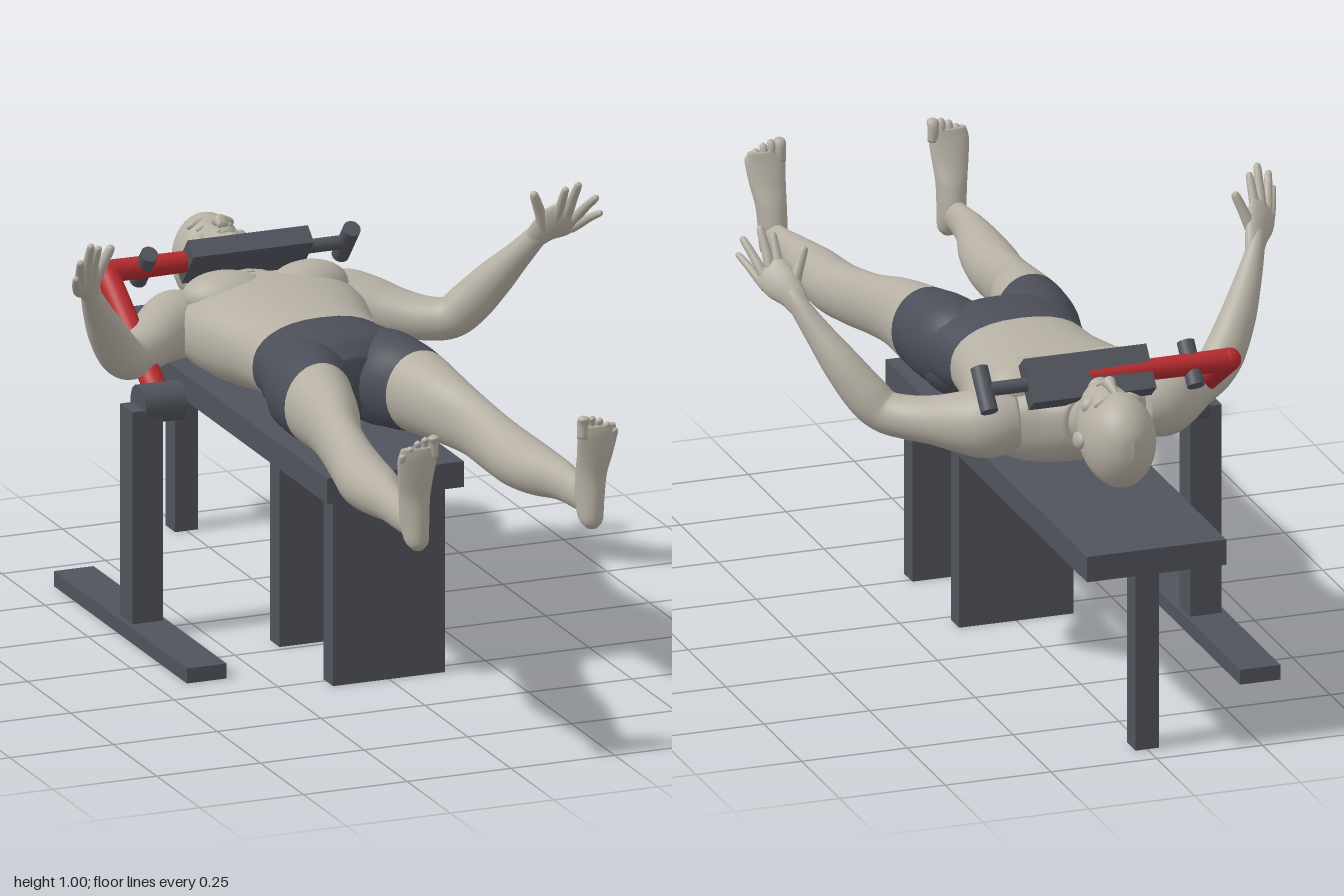
import * as THREE from 'three';

const material = (name, color) => Object.assign(new THREE.MeshStandardMaterial({ color }), { name });
const V = (x, y, z) => new THREE.Vector3(x, y, z);

export function createModel() {
  const model = new THREE.Group();
  const skin = material('skin', 0xb5afa3);
  const frame = material('dark frame', 0x50535c);
  const shorts = material('shorts fabric', 0x4b4e58);
  const red = material('red arm', 0xb42a2e);

  const add = (name, geometry, mat, parent = model) => {
    const mesh = new THREE.Mesh(geometry, mat);
    mesh.name = name;
    parent.add(mesh);
    return mesh;
  };
  const group = (name) => {
    const g = new THREE.Group();
    g.name = name;
    model.add(g);
    return g;
  };
  // Box given by its limits on each axis
  const box = (name, x0, x1, y0, y1, z0, z1, parent) =>
    add(name, new THREE.BoxGeometry(x1 - x0, y1 - y0, z1 - z0), frame, parent)
      .position.set((x0 + x1) / 2, (y0 + y1) / 2, (z0 + z1) / 2);
  // Cylinder between two points
  const rod = (name, p, q, r0, r1, mat, parent) => {
    const mesh = add(name, new THREE.CylinderGeometry(r1, r0, p.distanceTo(q), 28), mat, parent);
    mesh.position.copy(p).lerp(q, 0.5);
    mesh.quaternion.setFromUnitVectors(V(0, 1, 0), q.clone().sub(p).normalize());
    return mesh;
  };
  const ball = (name, x, y, z, rx, ry, rz, mat, parent) => {
    const mesh = add(name, new THREE.SphereGeometry(1, 24, 16), mat, parent);
    mesh.position.set(x, y, z);
    mesh.scale.set(rx, ry, rz);
    return mesh;
  };

  // Smooth skin over sections [x, y, z, radius across, radius deep].
  // ref is the across direction; axis, if given, fixes the section planes.
  // With two-tone on, rings between the waist and thigh hems use the shorts.
  const loft = (name, rows, { ref = V(1, 0, 0), axis = null, power = 1, twoTone = false }, parent) => {
    const path = new THREE.CatmullRomCurve3(rows.map((r) => V(r[0], r[1], r[2])), false, 'catmullrom');
    const size = new THREE.CatmullRomCurve3(rows.map((r) => V(r[3], r[4], 0)), false, 'catmullrom');
    const rings = (rows.length - 1) * 6, sides = 32, pos = [], index = [], centres = [];
    const bend = (v) => Math.sign(v) * Math.abs(v) ** power;
    for (let i = 0; i <= rings; i++) {
      const c = path.getPoint(i / rings), s = size.getPoint(i / rings);
      const t = axis || path.getTangent(i / rings);
      const u = ref.clone().addScaledVector(t, -ref.dot(t)).normalize();
      const w = t.clone().cross(u);
      centres.push(c);
      for (let j = 0; j < sides; j++) {
        const a = (j / sides) * Math.PI * 2;
        const p = c.clone().addScaledVector(u, bend(Math.cos(a)) * Math.max(s.x, 0.0005))
          .addScaledVector(w, bend(Math.sin(a)) * Math.max(s.y, 0.0005));
        pos.push(p.x, p.y, p.z);
      }
    }
    pos.push(...centres[0].toArray(), ...centres[rings].toArray());
    const geometry = new THREE.BufferGeometry(), first = (rings + 1) * sides;
    const tone = (z) => (twoTone && z > -0.1 && z < 0.18 ? 1 : 0);
    for (let i = 0; i < rings; i++) {
      const start = index.length;
      for (let j = 0; j < sides; j++) {
        const k = (j + 1) % sides, a = i * sides, b = a + sides;
        if (i === 0) index.push(first, k, j);
        index.push(a + j, a + k, b + k, a + j, b + k, b + j);
        if (i === rings - 1) index.push(first + 1, b + j, b + k);
      }
      geometry.addGroup(start, index.length - start, tone((centres[i].z + centres[i + 1].z) / 2));
    }
    geometry.setAttribute('position', new THREE.Float32BufferAttribute(pos, 3));
    geometry.setIndex(index);
    geometry.computeVertexNormals();
    if (!twoTone) geometry.clearGroups();
    return add(name, geometry, twoTone ? [skin, shorts] : skin, parent);
  };
  // Body section: [x, z, half width, top, bottom]
  const slice = ([x, z, w, top, bottom]) => [x, (top + bottom) / 2, z, w, (top - bottom) / 2];
  const alongZ = V(0, 0, 1);

  // Bench
  const bench = group('bench');
  box('benchTop', -0.165, 0.165, 0.44, 0.5, -1, 0.33, bench);
  box('benchEndPanel', -0.135, 0.135, 0, 0.44, 0.238, 0.293, bench);
  box('benchMiddlePanel', -0.135, 0.135, 0, 0.44, -0.072, -0.017, bench);
  box('benchHeadLeg', -0.0275, 0.0275, 0, 0.44, -0.937, -0.882, bench);

  // Side stand with pivot and red swing arm
  const stand = group('sideStand');
  box('standFoot', -0.428, -0.332, 0, 0.035, -0.622, 0.15, stand);
  box('standPost', -0.416, -0.342, 0.035, 0.53, -0.267, -0.195, stand);
  rod('pivotDrum', V(-0.385, 0.533, -0.235), V(-0.285, 0.533, -0.235), 0.045, 0.045, frame, stand);
  const corner = V(-0.334, 0.746, -0.545);
  rod('swingArm', V(-0.334, 0.545, -0.24), corner, 0.027, 0.027, red, stand);
  ball('armElbow', ...corner.toArray(), 0.027, 0.027, 0.027, red, stand);
  rod('crossArm', corner, V(0, 0.746, -0.545), 0.026, 0.023, red, stand);

  // Tilted chest pad with grips
  const pad = group('chestPad');
  pad.position.set(0, 0.746, -0.543);
  pad.rotation.x = -0.87;
  box('padBlock', -0.145, 0.145, -0.023, 0.023, -0.053, 0.053, pad);
  rod('gripBar', V(0.14, 0, 0), V(0.245, 0, 0), 0.016, 0.016, frame, pad);
  for (const s of [-1, 1])
    rod('grip', V(s * 0.244, 0, -0.053), V(s * 0.244, 0, 0.053), 0.02, 0.02, frame, pad);

  // Torso
  const body = group('lyingFigure');
  loft('torso', [
    [0, -0.57, 0.06, 0.715, 0.585], [0, -0.535, 0.11, 0.71, 0.555], [0, -0.5, 0.175, 0.715, 0.535],
    [0, -0.46, 0.208, 0.73, 0.52], [0, -0.4, 0.22, 0.742, 0.515], [0, -0.34, 0.215, 0.745, 0.513],
    [0, -0.28, 0.2, 0.742, 0.515], [0, -0.2, 0.178, 0.735, 0.525], [0, -0.1, 0.166, 0.73, 0.533],
    [0, -0.04, 0.174, 0.735, 0.522], [0, 0.02, 0.182, 0.735, 0.52], [0, 0.06, 0.16, 0.725, 0.535],
    [0, 0.1, 0.06, 0.69, 0.58],
  ].map(slice), { axis: alongZ, power: 0.86, twoTone: true }, body);

  // Head and neck
  loft('head', [
    [0, -0.851, 0, 0.69, 0.66], [0, -0.843, 0.031, 0.72, 0.63], [0, -0.82, 0.058, 0.752, 0.594],
    [0, -0.785, 0.076, 0.774, 0.568], [0, -0.745, 0.08, 0.779, 0.562], [0, -0.715, 0.078, 0.768, 0.565],
    [0, -0.68, 0.073, 0.77, 0.575], [0, -0.65, 0.064, 0.77, 0.585], [0, -0.625, 0.054, 0.768, 0.592],
    [0, -0.608, 0.05, 0.75, 0.595], [0, -0.59, 0.053, 0.726, 0.594], [0, -0.56, 0.057, 0.715, 0.588],
    [0, -0.52, 0.075, 0.712, 0.57],
  ].map(slice), { axis: alongZ }, body);
  loft('nose', [[0, 0.765, -0.74, 0.006, 0.01], [0, 0.775, -0.71, 0.009, 0.012],
    [0, 0.783, -0.685, 0.015, 0.015], [0, 0.775, -0.669, 0.012, 0.008]], { axis: alongZ }, body);
  ball('chin', 0, 0.75, -0.62, 0.026, 0.022, 0.016, skin, body);
  ball('upperLip', 0, 0.769, -0.656, 0.021, 0.008, 0.005, skin, body);
  ball('lowerLip', 0, 0.768, -0.646, 0.018, 0.008, 0.005, skin, body);

  for (const s of [-1, 1]) {
    const side = s > 0 ? 'left' : 'right';
    const mirror = (rows) => rows.map(([x, ...rest]) => [s * x, ...rest]);

    // Face halves and ear
    ball(side + 'Brow', s * 0.032, 0.762, -0.744, 0.026, 0.012, 0.009, skin, body).rotation.z = -s * 0.3;
    ball(side + 'Eye', s * 0.031, 0.756, -0.722, 0.013, 0.009, 0.008, skin, body);
    ball(side + 'Cheek', s * 0.045, 0.735, -0.69, 0.022, 0.02, 0.018, skin, body);
    ball(side + 'Ear', s * 0.081, 0.665, -0.712, 0.011, 0.02, 0.031, skin, body).rotation.x = 0.3;

    // Chest and seat muscles
    ball(side + 'Pectoral', s * 0.098, 0.7, -0.415, 0.1, 0.056, 0.072, skin, body).rotation.y = s * 0.25;
    ball(side + 'Buttock', s * 0.092, 0.585, 0.04, 0.088, 0.073, 0.1, shorts, body);

    // Leg
    loft(side + 'Leg', mirror([
      [0.09, -0.06, 0.06, 0.7, 0.56], [0.098, 0.02, 0.09, 0.727, 0.525], [0.105, 0.1, 0.097, 0.729, 0.518],
      [0.122, 0.18, 0.083, 0.72, 0.528], [0.139, 0.3, 0.066, 0.7, 0.536], [0.161, 0.4, 0.053, 0.676, 0.533],
      [0.175, 0.5, 0.054, 0.657, 0.521], [0.187, 0.6, 0.061, 0.643, 0.516], [0.195, 0.7, 0.055, 0.639, 0.526],
      [0.207, 0.8, 0.038, 0.633, 0.543], [0.213, 0.89, 0.028, 0.622, 0.546], [0.213, 0.95, 0.028, 0.62, 0.55],
    ]).map(slice), { axis: alongZ, twoTone: true }, body);

    // Foot: sections rise from heel to ball, then toes
    loft(side + 'Foot', mirror([
      [0.21, 0.527, 0.965, 0.012, 0.012], [0.21, 0.545, 0.958, 0.026, 0.032], [0.211, 0.59, 0.948, 0.031, 0.044],
      [0.213, 0.65, 0.953, 0.035, 0.037], [0.216, 0.7, 0.968, 0.042, 0.027], [0.217, 0.745, 0.98, 0.047, 0.017],
      [0.217, 0.772, 0.984, 0.041, 0.01],
    ]), { axis: V(0, 1, 0) }, body);
    for (let i = 0; i < 5; i++) {
      const x = 0.183 + i * 0.018 - (i ? 0 : 0.002), r = i ? 0.0085 : 0.013;
      const tip = 0.797 - i * i * 0.0022;
      loft(side + 'Toe', mirror([[x, 0.745, 0.982, r, r], [x, tip - 0.02, 0.982, r, r],
        [x, tip - 0.006, 0.987, r, r], [x, tip, 0.988, r * 0.4, r * 0.4]]), { axis: V(0, 1, 0) }, body);
    }

    // Arm from shoulder to wrist
    loft(side + 'Arm', mirror([
      [0.14, 0.635, -0.475, 0.06, 0.06], [0.2, 0.632, -0.462, 0.078, 0.074], [0.25, 0.628, -0.425, 0.071, 0.068],
      [0.3, 0.622, -0.375, 0.056, 0.058], [0.345, 0.618, -0.33, 0.05, 0.051], [0.39, 0.625, -0.292, 0.048, 0.047],
      [0.425, 0.66, -0.268, 0.05, 0.046], [0.468, 0.722, -0.23, 0.044, 0.04], [0.508, 0.787, -0.185, 0.032, 0.03],
      [0.538, 0.84, -0.147, 0.025, 0.021], [0.552, 0.868, -0.12, 0.022, 0.018],
    ]), { ref: V(0, 1, 0) }, body);

    // Palm, fingers and thumb
    const ref = V(s * 0.8, -0.2, 0.5);
    loft(side + 'Palm', mirror([
      [0.533, 0.83, -0.153, 0.022, 0.018], [0.549, 0.862, -0.124, 0.032, 0.019],
      [0.567, 0.884, -0.098, 0.041, 0.018], [0.581, 0.904, -0.074, 0.039, 0.014],
      [0.588, 0.913, -0.063, 0.028, 0.007],
    ]), { ref }, body);
    const digits = {
      Pinky: [[0.603, 0.88, -0.068], [0.634, 0.927, 0.003], 0.0085],
      RingFinger: [[0.595, 0.893, -0.069], [0.623, 0.965, 0.003], 0.0095],
      MiddleFinger: [[0.58, 0.902, -0.073], [0.588, 0.995, -0.018], 0.01],
      IndexFinger: [[0.563, 0.901, -0.082], [0.563, 0.982, -0.034], 0.0095],
      Thumb: [[0.545, 0.866, -0.115], [0.507, 0.962, -0.092], 0.0115],
    };
    for (const [name, [a, b, r]] of Object.entries(digits)) {
      const at = (t, k) => [...a.map((v, i) => v + (b[i] - v) * t + (i === 1 ? 0.012 * t * (1 - t) : 0)), r * k, r * k];
      loft(side + name, mirror([at(-0.2, 1), at(0.15, 1.2), at(0.5, 1.05), at(0.85, 0.9), at(0.97, 0.65), at(1, 0.2)]),
        { ref }, body);
    }
  }
  return model;
}
